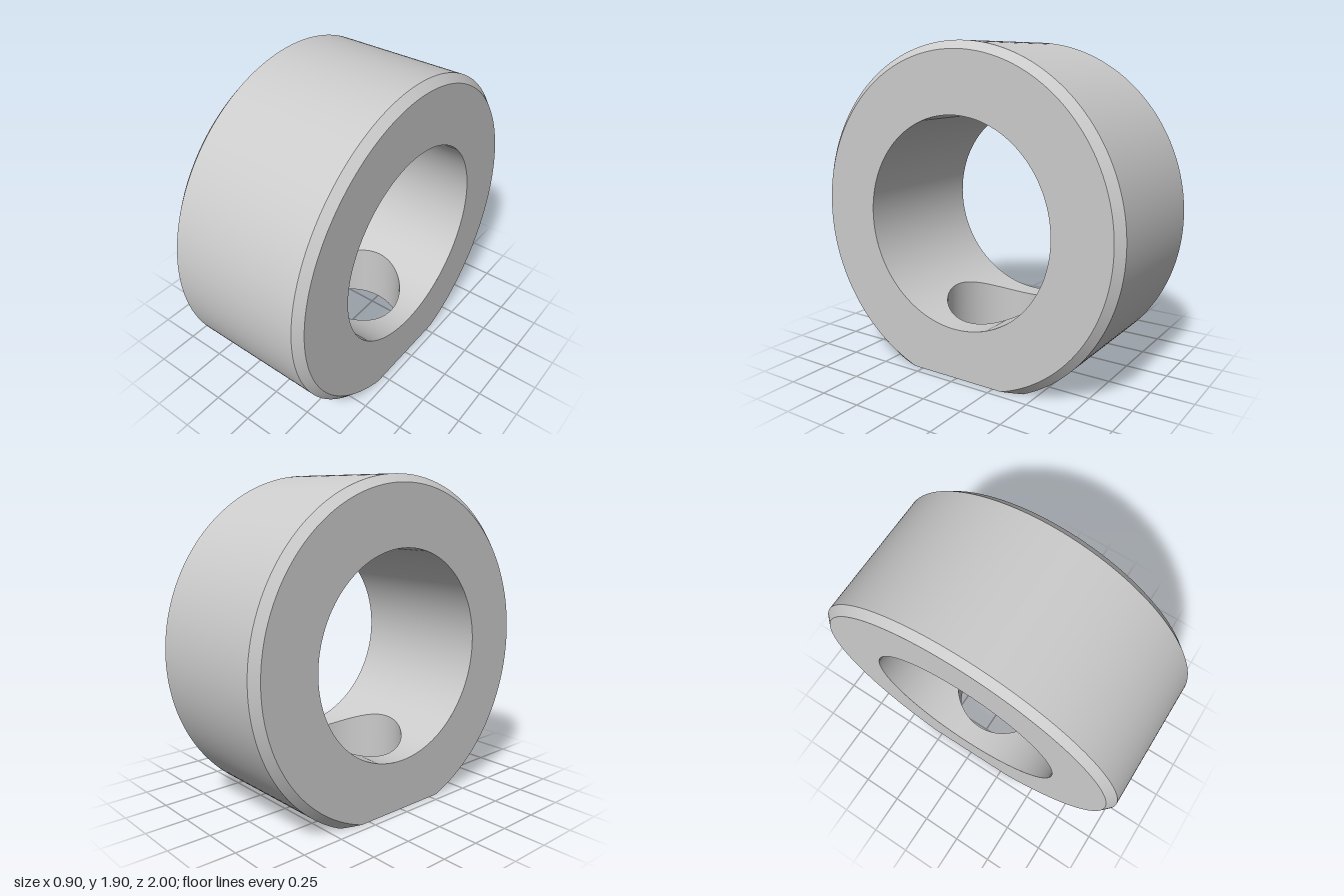
import * as THREE from 'three';

const C = 0.905;          // height of the ring axis, also its distance to the flat
const R = 1, BORE = 0.607, HALF = 0.45, CH = 0.045, DRILL = 0.32;
const RF = R - CH;        // radius of the end faces

// Angles are measured around the x axis, starting straight down
const ringPoint = (t, r, x) => [x, C - r * Math.cos(t), r * Math.sin(t)];
const flatReach = (t) => (Math.cos(t) > 0.01 ? C / Math.cos(t) : Infinity);
const drillHalf = (z) => Math.sqrt(Math.max(0, DRILL * DRILL - z * z));

const range = (a, b, n) => Array.from({ length: n + 1 }, (_, i) => a + ((b - a) * i) / n);

// Ruled surface between two edges, with exact normals and outward winding
function strip(ts, edgeA, edgeB, normal) {
  const pos = [], nor = [], idx = [];
  for (const t of ts) {
    const n = new THREE.Vector3(...normal(t)).normalize().toArray();
    pos.push(...edgeA(t), ...edgeB(t));
    nor.push(...n, ...n);
  }
  const v = (i) => new THREE.Vector3().fromArray(pos, i * 3);
  const m = Math.floor(ts.length / 2) * 2;
  const facing = v(m).sub(v(m - 2)).cross(v(m - 1).sub(v(m - 2))).dot(new THREE.Vector3().fromArray(nor, m * 3));
  for (let i = 0; i < ts.length - 1; i++) {
    const a = 2 * i, b = a + 1, c = a + 2, d = a + 3;
    if (facing > 0) idx.push(a, c, b, b, c, d);
    else idx.push(a, b, c, b, d, c);
  }
  const g = new THREE.BufferGeometry();
  g.setAttribute('position', new THREE.Float32BufferAttribute(pos, 3));
  g.setAttribute('normal', new THREE.Float32BufferAttribute(nor, 3));
  g.setIndex(idx);
  return g;
}

export function createModel() {
  const group = new THREE.Group();
  const material = new THREE.MeshStandardMaterial({ color: 0xcccccc });
  const add = (name, geometry) => {
    const mesh = new THREE.Mesh(geometry, material);
    mesh.name = name;
    group.add(mesh);
  };

  const tOuter = Math.acos(C / R);    // where the flat meets the rim
  const tFace = Math.acos(C / RF);    // where the flat meets the end faces
  const radial = (t) => [0, -Math.cos(t), Math.sin(t)];

  // Outer rim, open where the flat cuts it
  add('outerRim', strip(range(tOuter, 2 * Math.PI - tOuter, 160),
    (t) => ringPoint(t, R, -HALF + CH), (t) => ringPoint(t, R, HALF - CH), radial));

  const aroundFace = [
    ...range(-tFace, tFace, 24), ...range(tFace, tOuter, 8).slice(1),
    ...range(tOuter, 2 * Math.PI - tOuter, 160).slice(1),
    ...range(2 * Math.PI - tOuter, 2 * Math.PI - tFace, 8).slice(1),
  ];
  const aroundChamfer = aroundFace.filter((t) => t >= tFace - 1e-9);

  // Bore columns, denser towards the edges of the drilled hole
  const tDrill = Math.asin(DRILL / BORE);
  const drillSteps = range(-Math.PI / 2, Math.PI / 2, 40).map((p) => DRILL * Math.sin(p));
  const aroundBore = [
    ...drillSteps.map((z) => Math.asin(z / BORE)),
    ...range(tDrill, 2 * Math.PI - tDrill, 128).slice(1),
  ];
  const boreGap = (t) => (Math.cos(t) > 0 ? drillHalf(BORE * Math.sin(t)) : 0);

  // Flat columns across z
  const zEnd = C * Math.tan(tOuter), zFace = C * Math.tan(tFace);
  const acrossFlat = [...range(-zEnd, -zFace, 8), ...range(zFace, zEnd, 8), ...drillSteps]
    .sort((a, b) => a - b);
  const flatHalf = (z) => HALF - Math.max(0, Math.hypot(C, z) - RF);

  for (const s of [1, -1]) {
    const side = s > 0 ? 'left' : 'right';
    add(side + 'EndFace', strip(aroundFace,
      (t) => ringPoint(t, BORE, s * HALF),
      (t) => ringPoint(t, Math.min(RF, flatReach(t)), s * HALF), () => [s, 0, 0]));
    add(side + 'Chamfer', strip(aroundChamfer,
      (t) => ringPoint(t, RF, s * HALF),
      (t) => {
        const r = Math.max(RF, Math.min(R, flatReach(t)));
        return ringPoint(t, r, s * (HALF - (r - RF)));
      },
      (t) => [s, -Math.cos(t), Math.sin(t)]));
    add(side + 'Bore', strip(aroundBore,
      (t) => ringPoint(t, BORE, s * boreGap(t)), (t) => ringPoint(t, BORE, s * HALF),
      (t) => [0, Math.cos(t), -Math.sin(t)]));
    add(side + 'BottomFlat', strip(acrossFlat,
      (z) => [s * drillHalf(z), 0, z], (z) => [s * flatHalf(z), 0, z], () => [0, -1, 0]));
  }

  // Wall of the hole drilled up from the flat into the bore
  add('drilledHole', strip(range(0, 2 * Math.PI, 80),
    (p) => [DRILL * Math.cos(p), 0, DRILL * Math.sin(p)],
    (p) => {
      const z = DRILL * Math.sin(p);
      return [DRILL * Math.cos(p), C - Math.sqrt(BORE * BORE - z * z), z];
    },
    (p) => [-Math.cos(p), 0, -Math.sin(p)]));

  return group;
}
